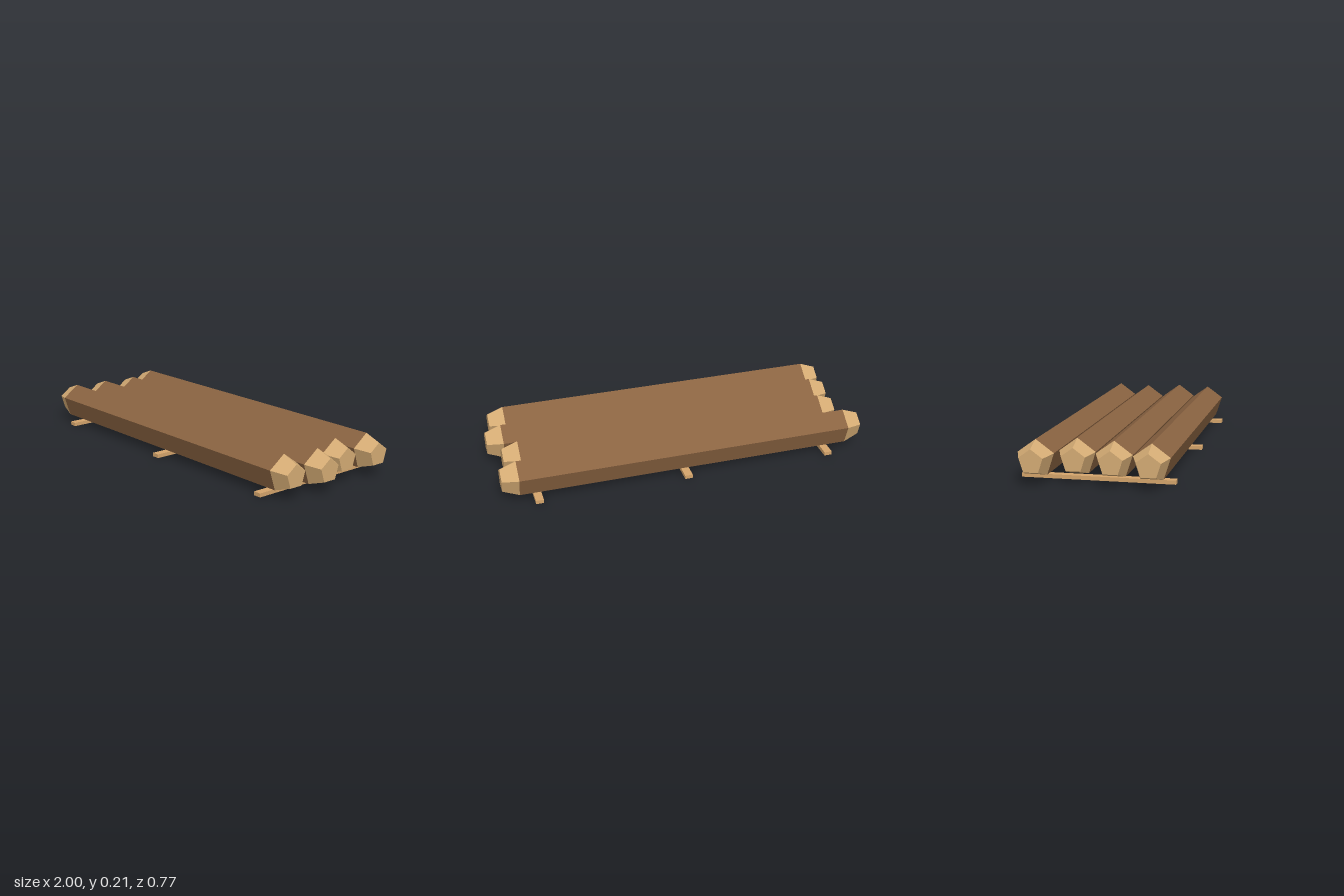
import * as THREE from 'three';

const R = 0.095, TIP = 0.0625, CAP = 0.086, AXIS_Y = 0.117;

// Five-sided prism or frustum lying along x, one edge on top
function pentagon(rPlusX, rMinusX, length, openEnded) {
  return new THREE.CylinderGeometry(rMinusX, rPlusX, length, 5, 1, openEnded)
    .rotateX(-Math.PI / 2)
    .rotateY(Math.PI / 2);
}

export function createModel() {
  const bark = new THREE.MeshStandardMaterial({ color: 0x8a6341, flatShading: true });
  bark.name = 'bark brown';
  const cutWood = new THREE.MeshStandardMaterial({ color: 0xd4ab74, flatShading: true });
  cutWood.name = 'cut wood tan';
  const plank = new THREE.MeshStandardMaterial({ color: 0xd4a46b, flatShading: true });
  plank.name = 'plank tan';

  const model = new THREE.Group();
  model.name = 'logRaft';

  function add(parent, name, geometry, material, x, y, z) {
    const mesh = new THREE.Mesh(geometry, material);
    mesh.name = name;
    mesh.position.set(x, y, z);
    parent.add(mesh);
  }

  // Logs of uneven length: z, right end, left end
  const logs = [
    [-0.281, -1.0, 0.98],
    [-0.094, -0.93, 0.94],
    [0.094, -0.96, 1.0],
    [0.281, -0.985, 0.96],
  ];
  for (const [z, x0, x1] of logs) {
    const log = new THREE.Group();
    log.name = 'log';
    log.position.set((x0 + x1) / 2, AXIS_Y, z);
    model.add(log);
    const body = x1 - x0 - 2 * CAP;
    add(log, 'logBark', pentagon(R, R, body, true), bark, 0, 0, 0);
    // Tapered cut ends
    const capX = (body + CAP) / 2;
    add(log, 'leftCutEnd', pentagon(TIP, R, CAP, false), cutWood, capX, 0, 0);
    add(log, 'rightCutEnd', pentagon(R, TIP, CAP, false), cutWood, -capX, 0, 0);
  }

  // Cross planks underneath
  for (const x of [-0.8, 0, 0.8]) {
    add(model, 'crossPlank', new THREE.BoxGeometry(0.042, 0.02, 0.766), plank, x, 0.01, 0);
  }
  return model;
}
